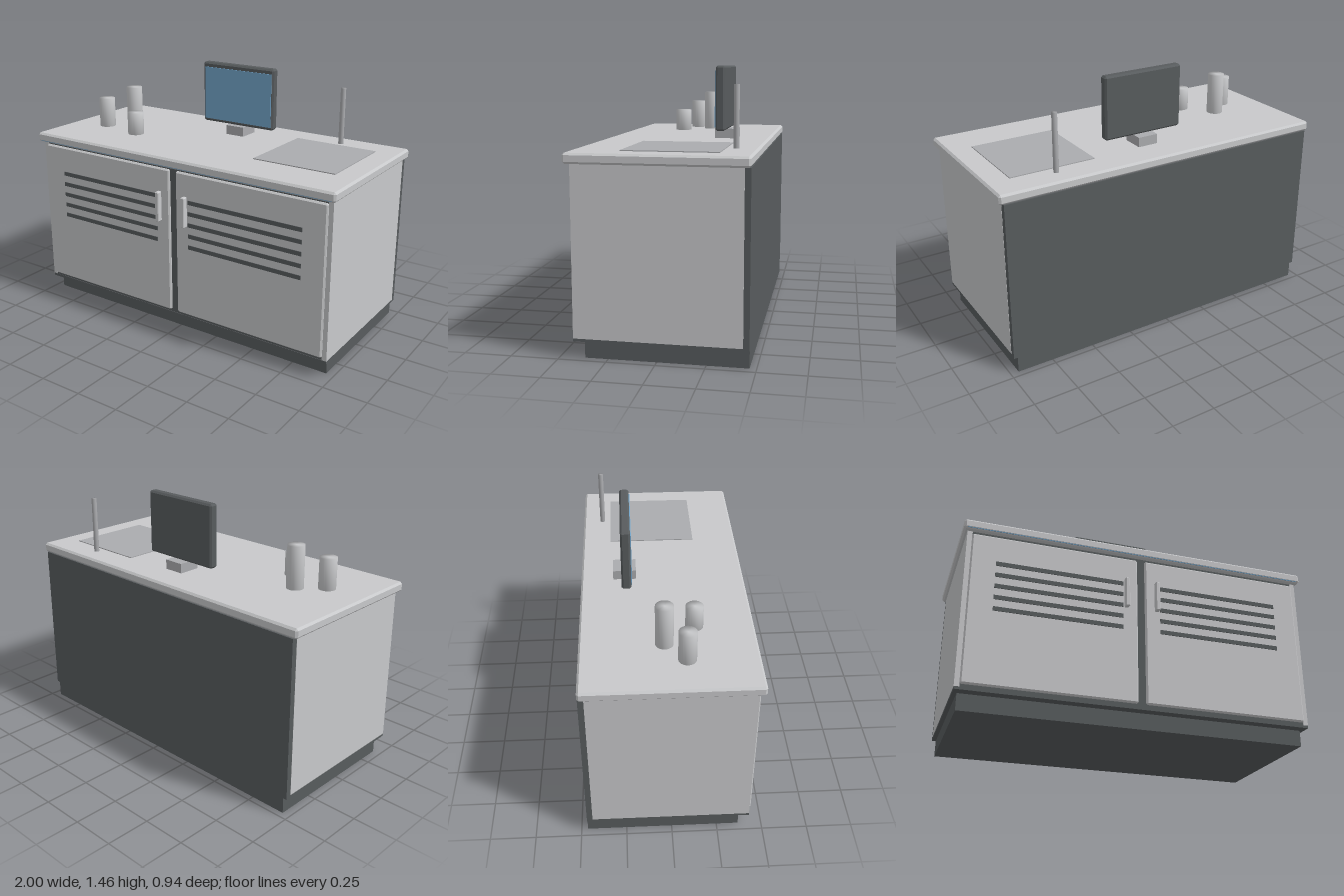
import * as THREE from 'three';
import { ConvexGeometry } from 'three/addons/geometries/ConvexGeometry.js';

const material = (name, color) => {
  const m = new THREE.MeshStandardMaterial({ color });
  m.name = name;
  return m;
};

export function createModel() {
  const light = material('light laminate', 0xc8c9cb);
  const dark = material('dark graphite', 0x585c5e);
  const grey = material('mid grey', 0xabacaf);
  const blue = material('screen blue', 0x74a6cb);
  const model = new THREE.Group();
  model.name = 'cabinetCounter';

  const add = (name, geometry, mat) => {
    const mesh = new THREE.Mesh(geometry, mat);
    mesh.name = name;
    model.add(mesh);
    return mesh;
  };

  // Plain box from its limits on each axis
  const box = (name, mat, [x0, x1], [y0, y1], [z0, z1]) =>
    add(name, new THREE.BoxGeometry(x1 - x0, y1 - y0, z1 - z0), mat)
      .position.set((x0 + x1) / 2, (y0 + y1) / 2, (z0 + z1) / 2);

  // Box with every edge chamfered by c
  const chamferBox = (name, mat, [x0, x1], [y0, y1], [z0, z1], c) => {
    const half = [(x1 - x0) / 2, (y1 - y0) / 2, (z1 - z0) / 2];
    const points = [];
    for (const sx of [-1, 1]) for (const sy of [-1, 1]) for (const sz of [-1, 1])
      for (let face = 0; face < 3; face++) {
        const p = [sx, sy, sz].map((s, i) => s * (half[i] - (i === face ? 0 : c)));
        points.push(new THREE.Vector3(...p));
      }
    add(name, new ConvexGeometry(points), mat)
      .position.set((x0 + x1) / 2, (y0 + y1) / 2, (z0 + z1) / 2);
  };

  // Upright cylinder with softly shaded rims
  const post = (name, mat, x, z, r, top) => {
    const h = top - 1.04;
    const profile = [[0, 0], [r, 0], [r, h], [0, h]].map(p => new THREE.Vector2(...p));
    add(name, new THREE.LatheGeometry(profile, 24), mat).position.set(x, 1.04, z);
  };

  // Plinth, carcass and back
  box('plinth', dark, [-0.955, 0.955], [0, 0.09], [-0.465, 0.37]);
  box('carcass', dark, [-0.95, 0.95], [0.105, 0.99], [-0.435, 0.422]);
  box('bottomPanel', dark, [-0.977, 0.977], [0.09, 0.105], [-0.435, 0.425]);
  box('backPanel', dark, [-0.977, 0.977], [0.09, 0.99], [-0.466, -0.435]);

  // Mirrored side panels, doors, vents and handles
  for (const s of [-1, 1]) {
    const side = s < 0 ? 'right' : 'left';
    const span = (a, b) => (s > 0 ? [a, b] : [-b, -a]);
    box(side + 'SidePanel', light, span(0.95, 0.978), [0.105, 0.99], [-0.435, 0.425]);
    chamferBox(side + 'Door', light, span(0.022, 0.952), [0.12, 0.974], [0.415, 0.437], 0.008);
    for (let i = 0; i < 5; i++) {
      const y = 0.81 - i * 0.066;
      box(side + 'VentSlot', dark, span(0.107, 0.817), [y - 0.012, y + 0.012], [0.434, 0.441]);
    }
    chamferBox(side + 'Handle', light, span(0.076, 0.1), [0.665, 0.84], [0.434, 0.468], 0.004);
  }

  // Countertop with a light strip under its front lip
  chamferBox('countertop', light, [-1, 1], [0.99, 1.045], [-0.467, 0.458], 0.011);
  box('lightStrip', blue, [-0.98, 0.98], [0.996, 1.007], [0.448, 0.456]);

  // Basin plate and tap
  box('basinPlate', grey, [0.375, 0.868], [1.04, 1.05], [-0.3, 0.2]);
  post('tap', grey, 0.63, -0.35, 0.015, 1.37);

  // Monitor on its foot
  box('monitorFoot', grey, [-0.035, 0.085], [1.04, 1.1], [-0.285, -0.155]);
  chamferBox('monitorCase', dark, [-0.22, 0.267], [1.1, 1.46], [-0.237, -0.184], 0.01);
  box('screen', blue, [-0.205, 0.255], [1.118, 1.432], [-0.187, -0.179]);

  // Canisters
  for (const [x, z, top] of [[-0.765, 0.085, 1.22], [-0.635, -0.025, 1.285], [-0.493, 0.14, 1.175]])
    post('canister', light, x, z, 0.048, top);

  return model;
}
